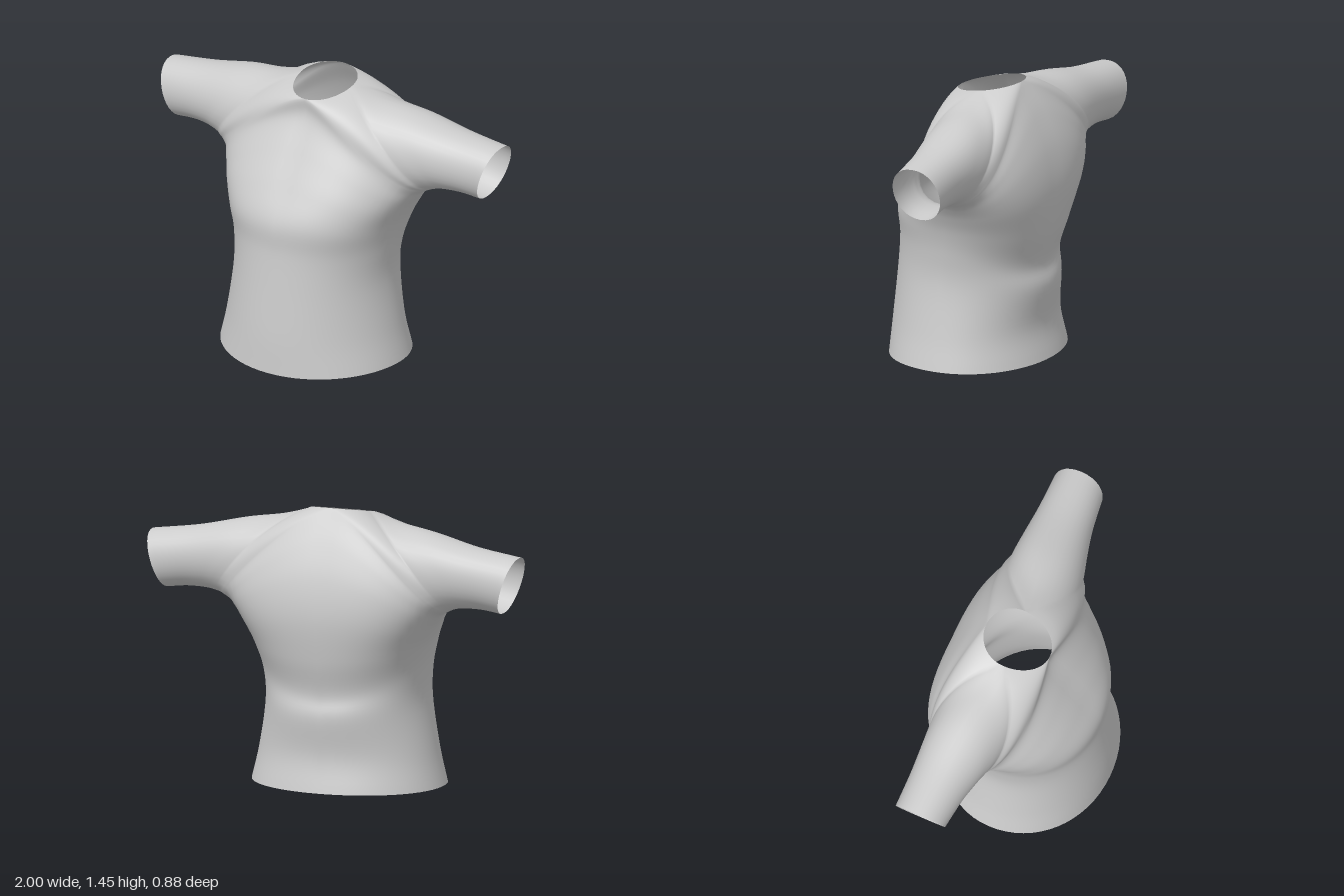
import * as THREE from 'three';
import { mergeVertices } from 'three/addons/utils/BufferGeometryUtils.js';

const STEPS = 6; // loft rows between two neighbouring sections
const COLS = 16; // columns from underarm seam to centre / neck / shoulder line
const V = (p) => new THREE.Vector3(...p);

// Smooth rail through points, sampled evenly per section
function rail(points) {
  const curve = new THREE.CatmullRomCurve3(points.map(V), false, 'catmullrom', 0.5);
  return curve.getPoints((points.length - 1) * STEPS);
}

// Seam from hem up the side, round the armpit and along the sleeve to the cuff
const underarm = [
  [0.5, 0.025, 0], [0.46, 0.2, 0], [0.42, 0.45, 0], [0.43, 0.62, -0.02], [0.46, 0.75, -0.05],
  [0.5, 0.84, -0.08], [0.535, 0.895, -0.1], [0.565, 0.93, -0.12], [0.6, 0.95, -0.13],
  [0.62, 0.96, -0.135], [0.64, 0.967, -0.14], [0.68, 0.977, -0.15], [0.73, 0.982, -0.155],
  [0.81, 0.982, -0.16], [0.91, 0.97, -0.165],
];

// Shoulder line from neck to cuff
const shoulder = [
  [0.155, 1.42, -0.09], [0.3, 1.38, -0.11], [0.5, 1.35, -0.14], [0.75, 1.295, -0.16], [1, 1.26, -0.17],
];

// Per panel: centre line, fullness at the underarm seam, and the rail that
// shapes each section next to the centre / neck / shoulder line
const panels = {
  front: {
    side: 1, neckDepth: 0.2, neckRise: -0.04,
    centre: [
      [0, 0, 0.44], [0, 0.2, 0.43], [0, 0.46, 0.405], [0, 0.64, 0.39], [0, 0.8, 0.385],
      [0, 0.96, 0.3], [0, 1.13, 0.195], [0, 1.28, 0.11], [0, 1.38, 0.11],
    ],
    fullness: [0.25, 0.23, 0.22, 0.23, 0.27, 0.32, 0.32, 0.32, 0.31, 0.29, 0.27, 0.26, 0.23, 0.2, 0.175],
    shape: [
      [0.28, 0, 0.44], [0.25, 0.2, 0.43], [0.24, 0.46, 0.405], [0.25, 0.64, 0.39], [0.29, 0.8, 0.385],
      [0.28, 0.95, 0.33], [0.27, 1.11, 0.24], [0.24, 1.25, 0.16], [0.2, 1.33, 0.14],
      [0.29, 1.34, 0.135], [0.35, 1.355, 0.125], [0.43, 1.35, 0.11], [0.55, 1.335, 0.09],
      [0.76, 1.295, 0.04], [1, 1.26, 0.01],
    ],
  },
  back: {
    side: -1, neckDepth: -0.15, neckRise: 0.03,
    centre: [
      [0, 0.025, -0.41], [0, 0.2, -0.375], [0, 0.4, -0.395], [0, 0.52, -0.375], [0, 0.7, -0.415],
      [0, 0.92, -0.44], [0, 1.12, -0.41], [0, 1.3, -0.335], [0, 1.45, -0.24],
    ],
    fullness: [0.24, 0.22, 0.22, 0.22, 0.25, 0.29, 0.31, 0.32, 0.33, 0.29, 0.26, 0.22, 0.2, 0.18, 0.18],
    shape: [
      [0.28, 0.025, -0.41], [0.26, 0.2, -0.375], [0.25, 0.4, -0.4], [0.25, 0.52, -0.375], [0.28, 0.7, -0.42],
      [0.32, 0.9, -0.45], [0.34, 1.07, -0.435], [0.31, 1.23, -0.385], [0.25, 1.35, -0.33],
      [0.31, 1.36, -0.355], [0.37, 1.365, -0.375], [0.44, 1.35, -0.39], [0.56, 1.335, -0.375],
      [0.76, 1.295, -0.36], [1, 1.26, -0.35],
    ],
  },
};

// Quarter of the neck opening, from the centre line to the shoulder
function neckline({ neckDepth, neckRise }) {
  return Array.from({ length: 2 * STEPS + 1 }, (_, i) => {
    const a = (i / (2 * STEPS)) * Math.PI / 2;
    return V([0.155 * Math.sin(a), 1.42 + neckRise * Math.cos(a), -0.09 + neckDepth * Math.cos(a)]);
  });
}

// Loft one quarter of the garment; every section is a cubic Bezier
function addPanel(panel, mirror, positions, indices) {
  const seam = rail(underarm);
  const seamHandle = rail(underarm.map(([x, y, z], i) => [x, y, z + panel.side * panel.fullness[i]]));
  const shape = rail(panel.shape);
  const edge = [...rail(panel.centre), ...neckline(panel).slice(1), ...rail(shoulder).slice(1)];
  const start = positions.length / 3;
  const flip = panel.side * mirror < 0;
  seam.forEach((p, i) => {
    const section = new THREE.CubicBezierCurve3(p, seamHandle[i], shape[i], edge[i]);
    section.getPoints(COLS).forEach((q, j) => {
      positions.push(q.x * mirror, q.y, q.z);
      if (i === 0 || j === 0) return;
      const c = start + i * (COLS + 1) + j;
      const d = c - 1, b = c - COLS - 1, a = b - 1;
      if (flip) indices.push(a, b, d, b, c, d);
      else indices.push(a, d, b, b, d, c);
    });
  });
}

export function createModel() {
  const positions = [], indices = [];
  for (const mirror of [1, -1])
    for (const panel of Object.values(panels)) addPanel(panel, mirror, positions, indices);

  // Weld the four quarters so the shading runs smoothly over the seams
  let geometry = new THREE.BufferGeometry();
  geometry.setAttribute('position', new THREE.Float32BufferAttribute(positions, 3));
  geometry.setIndex(indices);
  geometry = mergeVertices(geometry, 1e-4);
  geometry.computeVertexNormals();

  const cloth = new THREE.MeshStandardMaterial({ color: 0xcccccc, side: THREE.DoubleSide });
  const shirt = new THREE.Mesh(geometry, cloth);
  shirt.name = 'shirt';
  const group = new THREE.Group();
  group.name = 'shortSleevedShirt';
  group.add(shirt);
  return group;
}
